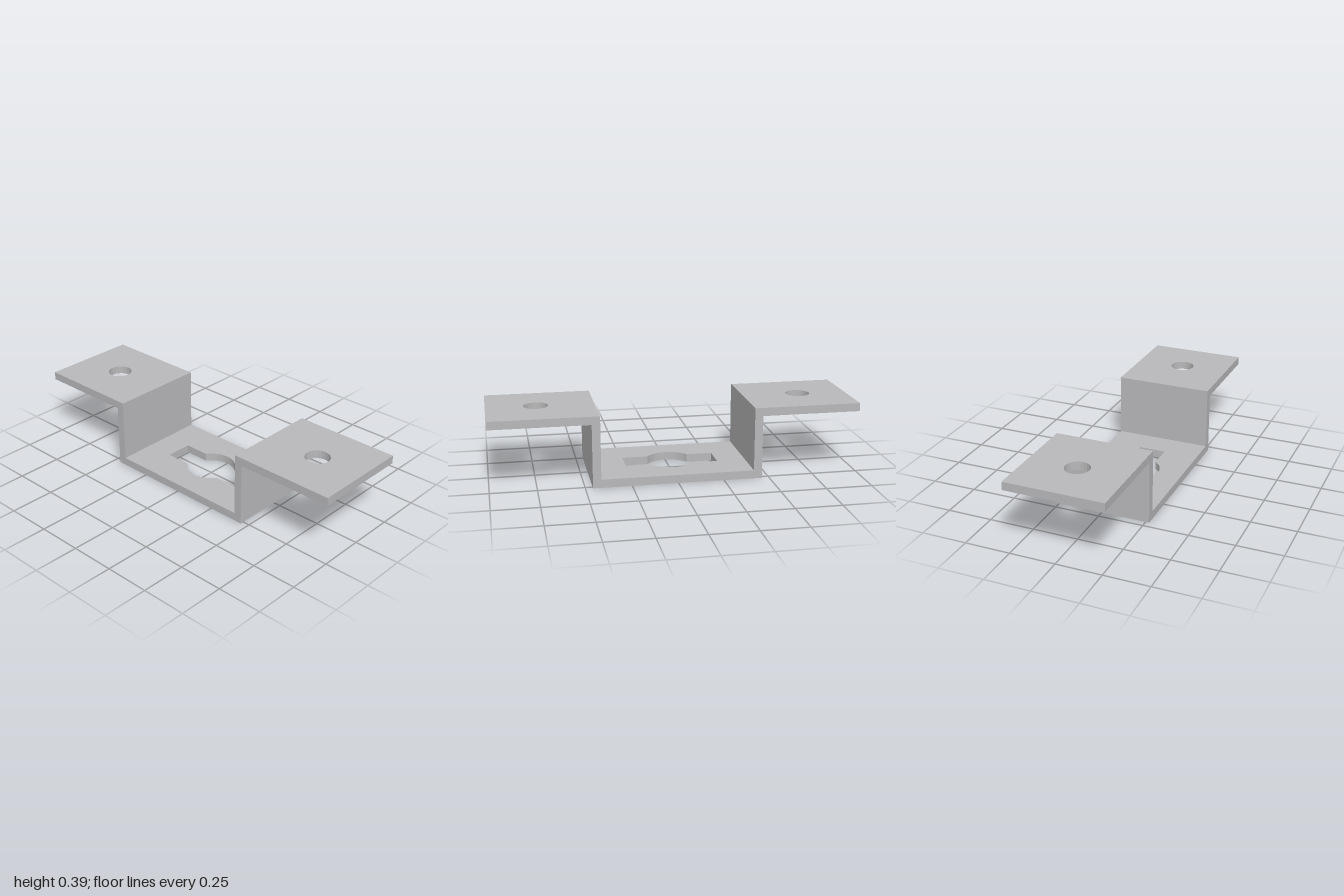
import * as THREE from 'three';

const T = 0.045;      // sheet thickness
const DEPTH = 0.54;   // full z depth
const HEIGHT = 0.393; // overall height
const INNER = 0.415;  // inner half-width of the channel
const OUTER = INNER + T;

// Horizontal plate from x0 to x1 with its underside at y and one hole
function plate(name, x0, x1, y, hole, material) {
  const d = DEPTH / 2;
  const shape = new THREE.Shape([
    new THREE.Vector2(x0, -d), new THREE.Vector2(x1, -d),
    new THREE.Vector2(x1, d), new THREE.Vector2(x0, d),
  ]);
  shape.holes.push(hole);
  const geometry = new THREE.ExtrudeGeometry(shape, { depth: T, bevelEnabled: false, curveSegments: 10 });
  geometry.rotateX(-Math.PI / 2);
  const mesh = new THREE.Mesh(geometry, material);
  mesh.name = name;
  mesh.position.y = y;
  return mesh;
}

// Rectangular slot widened by a round opening in the middle
function keySlot(halfLength, halfWidth, radius) {
  const a = Math.asin(halfWidth / radius);
  const path = new THREE.Path();
  path.moveTo(halfLength, -halfWidth);
  path.lineTo(halfLength, halfWidth);
  path.absarc(0, 0, radius, a, Math.PI - a, false);
  path.lineTo(-halfLength, halfWidth);
  path.lineTo(-halfLength, -halfWidth);
  path.absarc(0, 0, radius, Math.PI + a, 2 * Math.PI - a, false);
  path.closePath();
  return path;
}

export function createModel() {
  const model = new THREE.Group();
  model.name = 'mountingBracket';
  const steel = new THREE.MeshStandardMaterial({ color: 0xb8b8ba });
  steel.name = 'grey steel';

  // Channel floor
  model.add(plate('basePlate', -OUTER, OUTER, 0, keySlot(0.255, 0.075, 0.135), steel));

  // Upright walls and drilled flanges
  for (const [side, s] of [['left', 1], ['right', -1]]) {
    const wallHeight = HEIGHT - 2 * T;
    const wall = new THREE.Mesh(new THREE.BoxGeometry(T, wallHeight, DEPTH), steel);
    wall.name = side + 'Wall';
    wall.position.set(s * (INNER + T / 2), HEIGHT / 2, 0);
    model.add(wall);

    const hole = new THREE.Path().absarc(s * 0.73, 0, 0.067, 0, Math.PI * 2, false);
    const x0 = s > 0 ? INNER : -1;
    const x1 = s > 0 ? 1 : -INNER;
    model.add(plate(side + 'Flange', x0, x1, HEIGHT - T, hole, steel));
  }
  return model;
}
